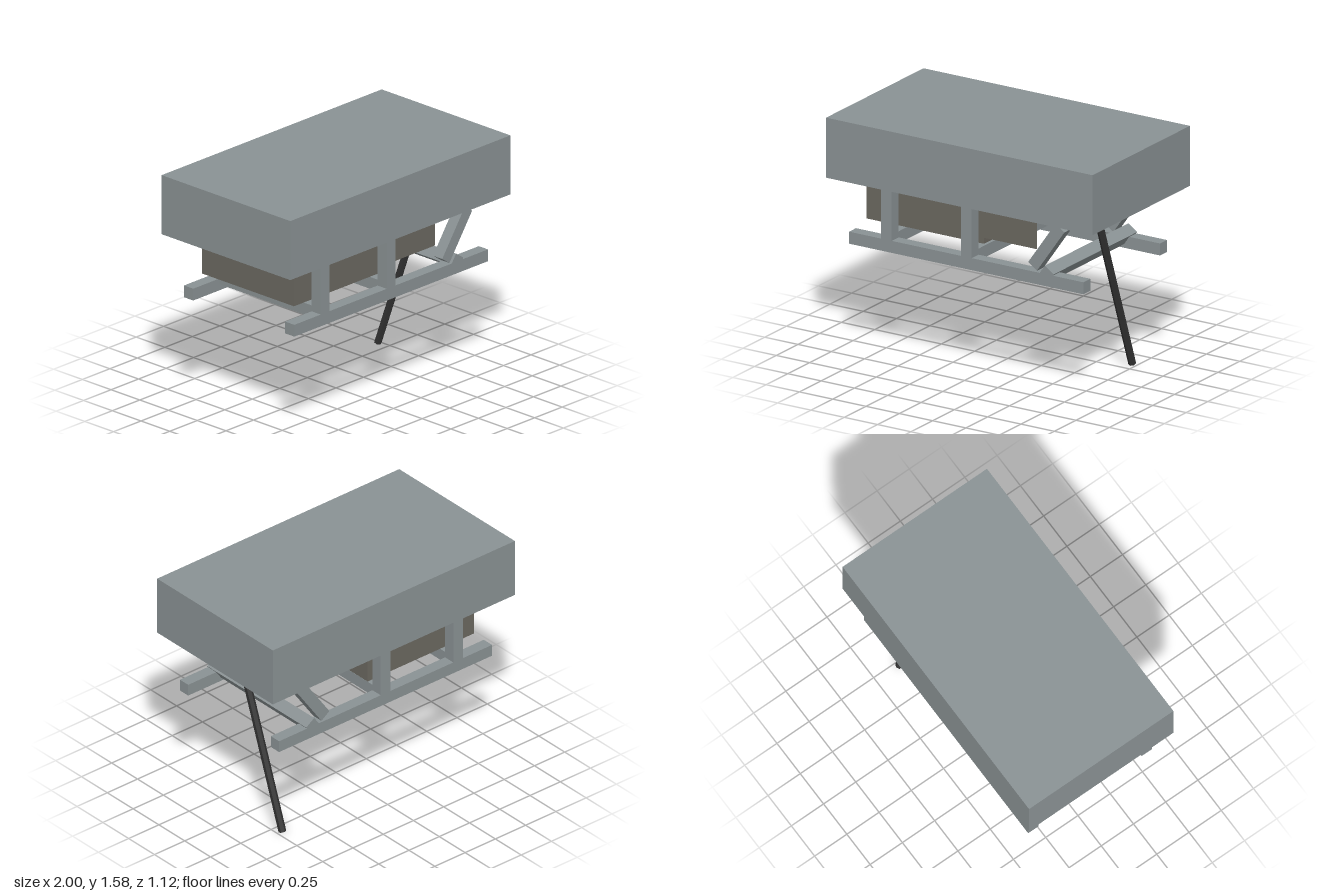
import * as THREE from 'three';

const mat = (color) => new THREE.MeshStandardMaterial({ color, flatShading: true });

export function createModel() {
  const model = new THREE.Group();
  const grey = mat(0x8a9294), dark = mat(0x6b6860), black = mat(0x333333);

  const add = (name, geometry, material, x, y, z) => {
    const mesh = new THREE.Mesh(geometry, material);
    mesh.name = name;
    mesh.position.set(x, y, z);
    model.add(mesh);
    return mesh;
  };
  const box = (name, material, w, h, d, x, y, z) =>
    add(name, new THREE.BoxGeometry(w, h, d), material, x, y, z);

  const T = 0.08;        // beam thickness
  const base = 1.176;    // underside of the body
  const deck = 0.816;    // top of the skids
  const sideZ = 0.44;    // centre line of the skids
  const tilt = THREE.MathUtils.degToRad(-35);

  // Main body
  box('body', grey, 2, 0.4, 1.12, 0, base + 0.2, 0);

  // Skids, posts and slanted braces on both sides
  for (const [side, z] of [['left', sideZ], ['right', -sideZ]]) {
    box(side + 'Skid', grey, 1.76, T, T, 0, deck - T / 2, z);
    for (const x of [-0.6, 0]) {
      box(side + 'Post', grey, T, base - deck, T, x, (base + deck) / 2, z);
    }
    box(side + 'Brace', grey, T, 0.36, T, 0.6, 0.996, z).rotation.z = tilt;
  }

  // Crossbars joining the skids; the end one is turned to match the braces
  for (const x of [-0.6, 0, 0.6]) {
    const bar = box('crossbar', grey, T, T, 0.96, x, deck, 0);
    if (x > 0) bar.rotation.z = tilt;
  }

  // Housing under the body
  box('lowerHousing', dark, 0.88, 0.28, 0.8, -0.36, base - 0.14, 0);

  // Triangular housing at the end of the box, extruded downwards
  const plan = new THREE.Shape([
    new THREE.Vector2(0.08, 0.4),
    new THREE.Vector2(0.08, -0.075),
    new THREE.Vector2(0.48, 0.4),
  ]);
  const wedge = new THREE.ExtrudeGeometry(plan, { depth: 0.24, bevelEnabled: false });
  wedge.rotateX(Math.PI / 2);
  add('wedgeHousing', wedge, dark, 0, base, 0);

  // Leaning pole that reaches the ground
  const pole = add('pole', new THREE.CylinderGeometry(0.025, 0.025, 1.2, 6), black, 0.72, 0.572, -0.12);
  pole.rotation.x = THREE.MathUtils.degToRad(20);

  return model;
}
